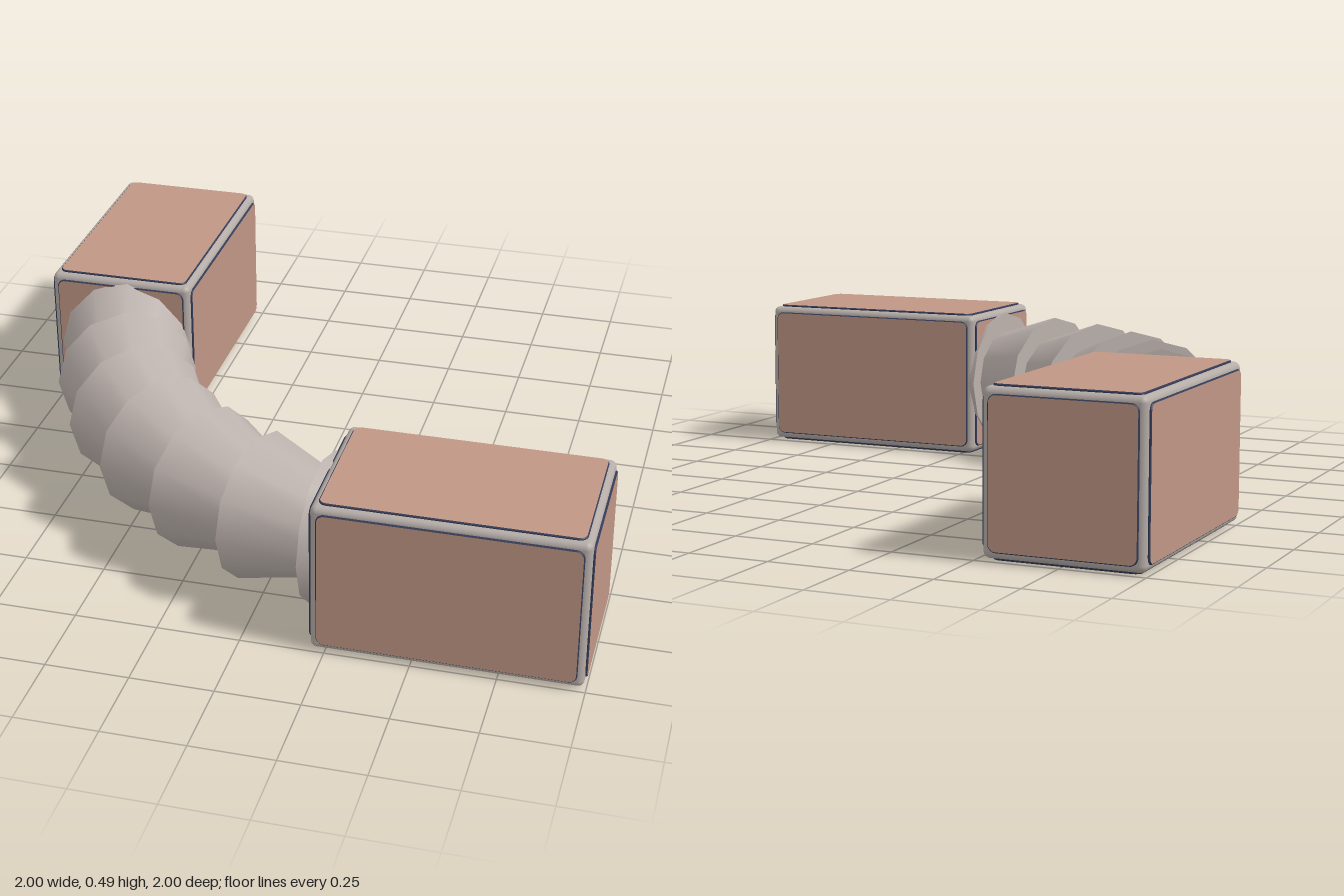
import * as THREE from 'three';
import { RoundedBoxGeometry } from 'three/addons/geometries/RoundedBoxGeometry.js';

const W = 0.486;    // box width and height
const L = 0.8;      // box length
const RAISE = 0.006; // how far the panels stand out from the frame
const INSET = 0.025; // frame strip left around each panel

const frameMat = new THREE.MeshStandardMaterial({ color: 0xb5aca7 });
frameMat.name = 'warm grey';
const panelMat = new THREE.MeshStandardMaterial({ color: 0xbf9685 });
panelMat.name = 'terracotta';
const rimMat = new THREE.MeshStandardMaterial({ color: 0x333a55 });
rimMat.name = 'navy';
const hoseMat = new THREE.MeshStandardMaterial({ color: 0xbcb2ad });
hoseMat.name = 'hose grey';

// Rounded plate with a dark bevelled rim, lying in xy and facing +z
function panelGeometry(w, h) {
  const b = 0.003, r = 0.022;
  const x = w / 2 - b, y = h / 2 - b;
  const s = new THREE.Shape();
  s.moveTo(-x + r, -y);
  s.lineTo(x - r, -y);
  s.absarc(x - r, -y + r, r, -Math.PI / 2, 0);
  s.lineTo(x, y - r);
  s.absarc(x - r, y - r, r, 0, Math.PI / 2);
  s.lineTo(-x + r, y);
  s.absarc(-x + r, y - r, r, Math.PI / 2, Math.PI);
  s.lineTo(-x, -y + r);
  s.absarc(-x + r, -y + r, r, Math.PI, Math.PI * 1.5);
  const geo = new THREE.ExtrudeGeometry(s, {
    depth: 0.003, bevelEnabled: true, bevelSize: b, bevelThickness: b, bevelSegments: 1, curveSegments: 4,
  });
  return geo.translate(0, 0, -0.006); // outer face at z = 0
}

// Framed box, long along x, with a panel on all six faces
function makeBox(name) {
  const g = new THREE.Group();
  g.name = name;
  const frame = new THREE.Mesh(
    new RoundedBoxGeometry(L - 2 * RAISE, W - 2 * RAISE, W - 2 * RAISE, 3, 0.02), frameMat);
  frame.name = 'frame';
  g.add(frame);

  const side = panelGeometry(L - 2 * INSET, W - 2 * INSET);
  const end = panelGeometry(W - 2 * INSET, W - 2 * INSET);
  const add = (geo, label, rx, ry, px, py, pz) => {
    const m = new THREE.Mesh(geo, [panelMat, rimMat]);
    m.name = label;
    m.rotation.set(rx, ry, 0);
    m.position.set(px, py, pz);
    g.add(m);
  };
  const q = Math.PI / 2;
  add(side, 'frontPanel', 0, 0, 0, 0, W / 2);
  add(side, 'backPanel', 0, Math.PI, 0, 0, -W / 2);
  add(side, 'topPanel', -q, 0, 0, W / 2, 0);
  add(side, 'bottomPanel', q, 0, 0, -W / 2, 0);
  add(end, 'leftPanel', 0, q, L / 2, 0, 0);
  add(end, 'rightPanel', 0, -q, -L / 2, 0, 0);
  return g;
}

export function createModel() {
  const model = new THREE.Group();
  model.name = 'jointedArm';

  const leftBox = makeBox('leftBox');
  leftBox.position.set(1 - L / 2, W / 2, 1 - W / 2);
  const backBox = makeBox('backBox');
  backBox.rotation.y = Math.PI / 2;
  backBox.position.set(-1 + W / 2, W / 2, -1 + L / 2);
  model.add(leftBox, backBox);

  // Curved hose of nested tapering sleeves, wide end towards the back box
  const hose = new THREE.Group();
  hose.name = 'hose';
  const len = 0.3;
  const sleeve = new THREE.CylinderGeometry(0.134, 0.226, len, 12)
    .translate(0, len / 2, 0).rotateX(Math.PI / 2);
  // x, z of each wide end and its heading in degrees from +z
  const stations = [
    [-0.735, -0.22, 15], [-0.67, 0, 27], [-0.565, 0.212, 39], [-0.422, 0.395, 51],
    [-0.243, 0.548, 62], [-0.04, 0.66, 73.5], [0.177, 0.731, 85],
  ];
  stations.forEach(([x, z, deg], i) => {
    const m = new THREE.Mesh(sleeve, hoseMat);
    m.name = `sleeve${i + 1}`;
    m.position.set(x, 0.248, z);
    m.rotation.y = THREE.MathUtils.degToRad(deg);
    hose.add(m);
  });
  model.add(hose);
  return model;
}
